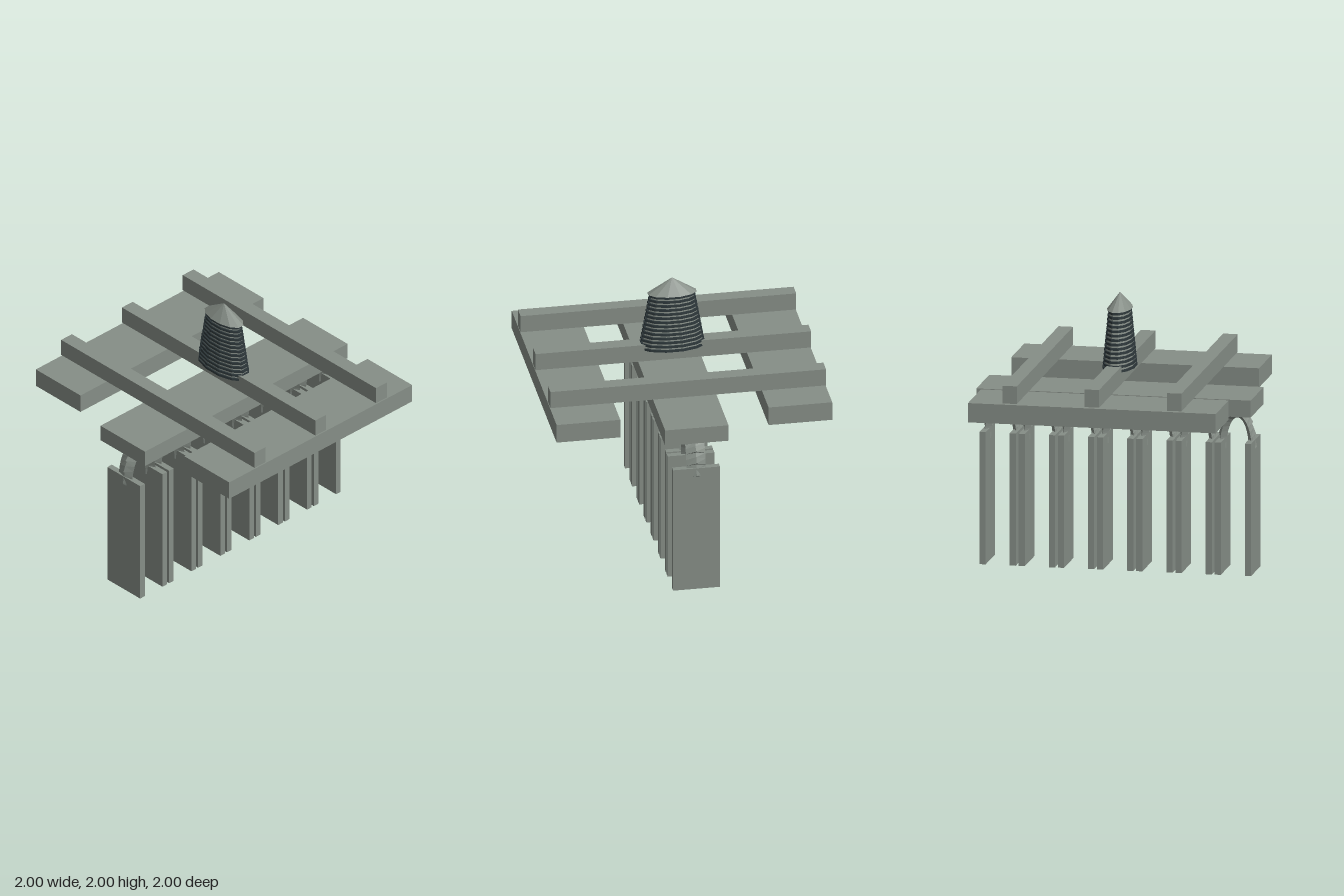
import * as THREE from 'three';

const material = (name, color) => {
  const m = new THREE.MeshStandardMaterial({ color, flatShading: true });
  m.name = name;
  return m;
};
const stone = material('greyStone', 0x868e87);
const slate = material('darkSlate', 0x2c3639);

function add(parent, name, geometry, y = 0, mat = stone) {
  const mesh = new THREE.Mesh(geometry, mat);
  mesh.name = name;
  mesh.position.y = y;
  parent.add(mesh);
  return mesh;
}

function slab(parent, name, w, y0, y1, d, x = 0, z = 0) {
  const mesh = add(parent, name, new THREE.BoxGeometry(w, y1 - y0, d), (y0 + y1) / 2);
  mesh.position.x = x;
  mesh.position.z = z;
}

// Half-ellipse rib made of separate diamond-section stones, each flaring at its lower end
function archGeometry(perSide = 4, cuts = 2) {
  const a = 0.082, b = 0.23, base = 0.89, halfDepth = 0.07;
  const step = Math.PI / 2 / perSide;
  const point = (angle, t) => {
    const c = Math.cos(angle), s = Math.sin(angle);
    const n = new THREE.Vector2(c / a, s / b).normalize();
    return [a * c + t * n.x, base + b * s + t * n.y];
  };
  // f runs from 0 at the lower end of a stone to 1 at its upper end
  const section = (i, f, side) => {
    const angle = (i + f) * step;
    const put = (t, z, lift = 0) => {
      const [x, y] = point(angle, t);
      return [x * side, y + lift, z];
    };
    const crown = i === perSide - 1;
    const tip = put(crown ? 0.06 : 0.06 - 0.016 * f, 0, crown ? 0.015 * (1 - f) : 0.02);
    return [put(0, 0), put(0.036, halfDepth), tip, put(0.036, -halfDepth)];
  };
  const positions = [];
  const quad = (p, q, r, s) => positions.push(...p, ...q, ...r, ...p, ...r, ...s);
  for (const side of [1, -1]) {
    for (let i = 0; i < perSide; i++) {
      for (let j = 0; j < cuts; j++) {
        const low = section(i, j / cuts, side), high = section(i, (j + 1) / cuts, side);
        // The mirrored half swaps its ends to keep faces outward
        const [p, q] = side > 0 ? [low, high] : [high, low];
        for (let k = 0; k < 4; k++) {
          const m = (k + 1) % 4;
          quad(p[k], p[m], q[m], q[k]);
        }
        // End faces of each stone
        const first = j === 0, last = j === cuts - 1;
        if (side > 0 ? first : last) quad(p[3], p[2], p[1], p[0]);
        if (side > 0 ? last : first) quad(q[0], q[1], q[2], q[3]);
      }
    }
  }
  const g = new THREE.BufferGeometry();
  g.setAttribute('position', new THREE.Float32BufferAttribute(positions, 3));
  g.computeVertexNormals();
  return g;
}

// Twelve-sided oval frustum, flat side to the front
function oval(topX, bottomX, topZ, bottomZ, height) {
  const g = new THREE.CylinderGeometry(1, 1, height, 12);
  g.rotateY(Math.PI / 12);
  const p = g.attributes.position;
  for (let i = 0; i < p.count; i++) {
    const top = p.getY(i) > 0;
    p.setX(i, p.getX(i) * (top ? topX : bottomX));
    p.setZ(i, p.getZ(i) * (top ? topZ : bottomZ));
  }
  g.computeVertexNormals();
  return g;
}

export function createModel() {
  const model = new THREE.Group();
  model.name = 'arcadePavilion';

  // Arcade of seven arches on thin wall piers
  const arch = archGeometry();
  for (let i = -3; i <= 3; i++) {
    const bay = new THREE.Group();
    bay.name = 'archBay';
    bay.position.x = i * 0.2857;
    for (const s of [-1, 1]) slab(bay, 'pier', 0.045, 0, 0.967, 0.34, s * 0.11);
    add(bay, 'arch', arch);
    model.add(bay);
  }

  // Roof slabs
  slab(model, 'centreSlab', 2, 1.174, 1.298, 0.46);
  for (const s of [-1, 1]) slab(model, 'sideSlab', 1.806, 1.222, 1.363, 0.462, 0, s * 0.769);

  // Cross beams
  for (const x of [-0.6, 0, 0.6]) slab(model, 'crossBeam', 0.106, 1.372, 1.501, 2, x);

  // Oval tower with dark ribs and a pointed cap
  const tower = new THREE.Group();
  tower.name = 'tower';
  model.add(tower);
  add(tower, 'towerCore', oval(0.07, 0.108, 0.152, 0.232, 0.425), 1.6725);
  const rings = 14;
  for (let i = 0; i < rings; i++) {
    const t = i / (rings - 1);
    const rx = 0.12 - 0.038 * t, rz = 0.245 - 0.073 * t;
    add(tower, 'towerRing', oval(rx - 0.002, rx, rz - 0.002, rz, 0.016), 1.466 + 0.405 * t, slate);
  }
  add(tower, 'towerCap', oval(0.0001, 0.089, 0.0001, 0.182, 0.117), 1.9415);

  return model;
}
